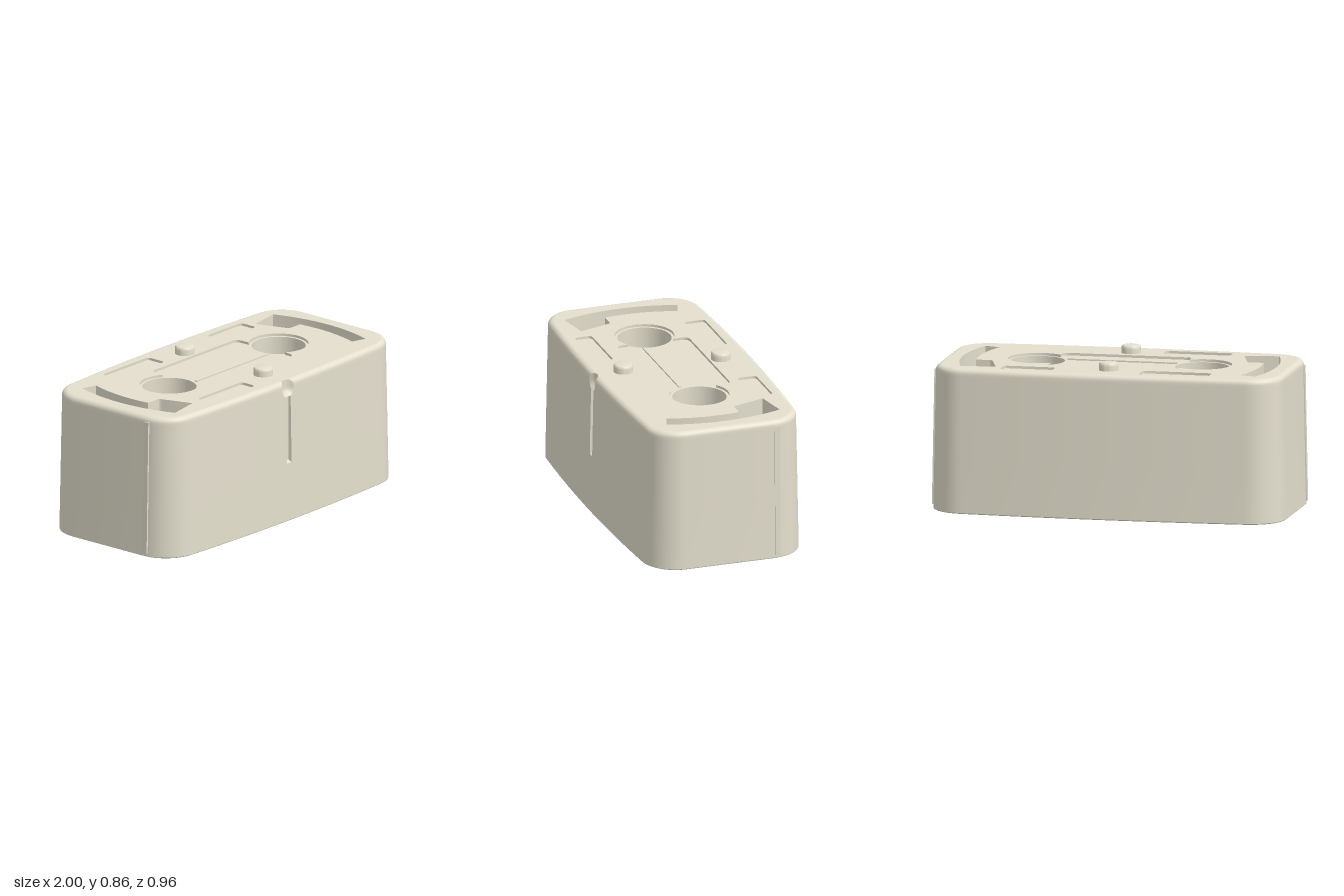
import * as THREE from 'three';
import { toCreasedNormals } from 'three/addons/utils/BufferGeometryUtils.js';

const paint = color => new THREE.MeshStandardMaterial({ color, side: THREE.DoubleSide });
const beige = paint(0xe4dfcd), dark = paint(0x453f39), tan = paint(0xd8c0b0);
const V = (x, y) => new THREE.Vector2(x, y);

// Front surface limit that carves the narrow groove and the round notch above it
function frontLimit(x, y) {
  let limit = Infinity;
  if (y > 0.34 && y < 0.72 && Math.abs(x) < 0.019) limit = 0.452;
  const t = 0.05 ** 2 - x * x - Math.min(0, y - 0.765) ** 2;
  if (t > 0) limit = Math.min(limit, 0.485 - Math.sqrt(t));
  return limit;
}

// Plan outline (x, z) with round corners and bowed long sides
function outline(inset, y) {
  const quarter = [];
  for (let i = 0; i <= 12; i++) {
    const a = (i / 12) * Math.PI / 2, r = 0.2 - inset;
    quarter.push(V(0.795 + r * Math.cos(a), 0.255 + r * Math.sin(a)));
  }
  for (const x of [0.7, 0.55, 0.4, 0.25, 0.1, 0.052, 0.048, 0.042, 0.035, 0.028, 0.02, 0.0185, 0.009, 0])
    quarter.push(V(x, 0.455 - inset + 0.025 * (1 - (x / 0.795) ** 2)));
  const half = [...quarter, ...quarter.slice(0, -1).reverse().map(p => V(-p.x, p.y))];
  const all = [...half, ...half.map(p => V(-p.x, -p.y))];
  return all.map(p => V(p.x, Math.min(p.y, frontLimit(p.x, y))));
}

// Closed-ring loft through [inset, y] levels
function loft(profile) {
  const pos = [], index = [];
  let n = 0;
  profile.forEach(([inset, y]) => {
    const ring = outline(inset, y);
    n = ring.length;
    ring.forEach(p => pos.push(p.x, y, p.y));
  });
  for (let i = 0; i < profile.length - 1; i++)
    for (let j = 0; j < n; j++) {
      const a = i * n + j, b = i * n + (j + 1) % n;
      index.push(a, a + n, b, b, a + n, b + n);
    }
  const g = new THREE.BufferGeometry();
  g.setAttribute('position', new THREE.Float32BufferAttribute(pos, 3));
  g.setIndex(index);
  return toCreasedNormals(g, 0.5);
}

// Horizontal slab from a plan shape, extruded downwards from yTop
function slab(shape, holes, yTop, depth) {
  shape.holes.push(...holes);
  const g = new THREE.ExtrudeGeometry(shape, { depth, bevelEnabled: false, curveSegments: 24 });
  g.rotateX(Math.PI / 2).translate(0, yTop, 0);
  return toCreasedNormals(g, 0.5);
}

function roundRect(x0, z0, x1, z1, r) {
  const s = new THREE.Shape();
  s.absarc(x1 - r, z1 - r, r, 0, Math.PI / 2);
  s.absarc(x0 + r, z1 - r, r, Math.PI / 2, Math.PI);
  s.absarc(x0 + r, z0 + r, r, Math.PI, Math.PI * 1.5);
  s.absarc(x1 - r, z0 + r, r, Math.PI * 1.5, Math.PI * 2);
  s.closePath();
  return s;
}

const circle = (x, r) => new THREE.Shape().absarc(x, 0, r, 0, Math.PI * 2);

// Curved end slot with the opening beside it; sign -1 turns it to the other end
function slot(sign, g = 0) {
  const s = new THREE.Shape();
  s.absarc(-0.115, 0, 1.0 + g, -0.352 - g, 0.326 + g);
  s.absarc(-0.115, 0, 0.91 - g, 0.326 + g, -0.132 + g, true);
  s.lineTo(0.71 - g, -0.12 + g);
  s.quadraticCurveTo(0.695 - g, -0.12 + g, 0.69 - g, -0.14);
  s.lineTo(0.635 - g, -0.31 - g);
  return new THREE.Shape(s.getPoints(24).map(p => V(p.x * sign, p.y * sign)));
}

// Through-opening beside the curved slot
const opening = sign => new THREE.Shape([[0.787, -0.12], [0.695, -0.12], [0.635, -0.31], [0.742, -0.325], [0.762, -0.24]]
  .map(([x, z]) => V(x * sign, z * sign)));

// Central recess merged with the rims of both wells
function centreRecess() {
  const s = new THREE.Shape(), a = Math.PI - 0.92;
  s.moveTo(0.325, -0.22);
  s.quadraticCurveTo(0.365, -0.22, 0.365, -0.18);
  s.absarc(0.465, 0, 0.165, -a, a);
  s.lineTo(0.365, 0.16);
  s.quadraticCurveTo(0.365, 0.2, 0.325, 0.2);
  s.lineTo(-0.325, 0.2);
  s.quadraticCurveTo(-0.365, 0.2, -0.365, 0.16);
  s.absarc(-0.465, 0, 0.165, Math.PI - a, Math.PI + a);
  s.lineTo(-0.365, -0.18);
  s.quadraticCurveTo(-0.365, -0.22, -0.325, -0.22);
  s.closePath();
  return s;
}

export function createModel() {
  const group = new THREE.Group();
  const add = (name, geometry, x = 0, y = 0, z = 0, material = beige) => {
    const m = new THREE.Mesh(geometry, material);
    m.name = name;
    m.position.set(x, y, z);
    group.add(m);
    return m;
  };
  const lathe = pts => toCreasedNormals(new THREE.LatheGeometry(pts.map(p => V(...p)), 40), 0.6);
  const box = (x, y, z) => new THREE.BoxGeometry(x, y, z);

  // Hollow tapered housing: inner wall, bottom rim, outer wall, top fillet
  const profile = [[0.06, 0.77], [0.052, 0], [0.006, 0], [0.002, 0.002], [0, 0.006]];
  for (const y of [0.012, 0.02, 0.335, 0.345, 0.7, 0.715, 0.72, 0.725, 0.735, 0.745, 0.755, 0.765, 0.78])
    profile.push([0.015 * y / 0.78, y]);
  for (let i = 1; i <= 6; i++) {
    const a = (i / 6) * Math.PI / 2;
    profile.push([0.045 - 0.03 * Math.cos(a), 0.78 + 0.03 * Math.sin(a)]);
  }
  add('housing', loft(profile));

  // Top plate with recesses, laid over a backing plate that forms their floors
  const ends = [1, -1];
  add('topPlate', slab(new THREE.Shape(outline(0.045, 0.81)), [
    centreRecess(), ...ends.map(s => slot(s)),
    roundRect(-0.58, -0.39, -0.19, -0.27, 0.02),
    roundRect(-0.555, 0.28, -0.18, 0.38, 0.02),
    roundRect(0.305, -0.385, 0.595, -0.275, 0.02),
  ], 0.81, 0.014));
  add('backingPlate', slab(new THREE.Shape(outline(0.05, 0.75)), [
    ...ends.map(s => circle(s * 0.465, 0.15)), ...ends.map(s => slot(s)),
  ], 0.796, 0.036));
  add('centreSeam', box(0.62, 0.01, 0.01), 0, 0.799, 0.06);

  for (const z of [-0.285, 0.285])
    add('button', lathe([[0.055, 0.78], [0.055, 0.838], [0.053, 0.847], [0.048, 0.853], [0.04, 0.855], [0, 0.855]]), 0, 0, z);

  for (const s of ends) {
    // Deep stepped well inside a boss that reaches down to the rim
    add('wellBoss', lathe([[0.083, 0.27], [0.1, 0.27], [0.1, 0.52], [0.15, 0.52], [0.15, 0.794],
      [0.165, 0.77], [0.165, 0.5], [0.15, 0.03], [0.083, 0.03], [0.083, 0.27]]), s * 0.465);

    // Screw head with a cross recess
    const cross = new THREE.Shape();
    const w = 0.016, l = 0.062;
    [[w, l], [w, w], [l, w], [l, -w], [w, -w], [w, -l], [-w, -l], [-w, -w], [-l, -w], [-l, w], [-w, w], [-w, l]]
      .forEach(([x, y], i) => (i ? cross.lineTo(x, y) : cross.moveTo(x, y)));
    const head = add('screwHead', slab(circle(0, 0.097), [cross], 0.33, 0.03), s * 0.465, 0, 0, dark);
    head.rotation.y = 0.2;
    add('screwBody', new THREE.CylinderGeometry(0.097, 0.097, 0.03, 32), s * 0.465, 0.285, 0, dark);

    // Channel walls below each slot and its side opening
    add('slotWall', slab(slot(s, 0.012), [slot(s)], 0.77, 0.12));

    // Stiffening rib from the boss to the long wall
    add('rib', box(0.15, 0.73, 0.26), s * 0.52, 0.4, s * 0.295);

    // Contact cup in the inner plate
    add('contactCup', lathe([[0.07, 0.23], [0.055, 0.33], [0, 0.33]]), s * 0.11, 0, 0, tan);

    // Raised strip on each end face, following the wall's taper
    const strip = add('endStrip', box(0.016, 0.76, 0.03), s * 0.985, 0.4, s * -0.275);
    strip.rotation.z = s * 0.0192;
  }

  // Two-layer inner plate, dark above, pierced by the bosses, cups and end openings
  for (const [name, y, material] of [['innerPlate', 0.25, tan], ['innerPlateCover', 0.27, dark]])
    add(name, slab(new THREE.Shape(outline(0.075, 0.25)), ends.flatMap(s =>
      [circle(s * 0.465, 0.15), circle(s * 0.11, 0.07), opening(s)]), y, 0.02), 0, 0, 0, material);

  // Divider, stop bar, wall block and post under the plate
  add('divider', box(0.025, 0.06, 0.27), 0, 0.2, 0);
  add('stopBar', box(0.05, 0.13, 0.26), -0.25, 0.17, 0);
  add('wallBlock', box(0.17, 0.12, 0.08), 0.02, 0.18, 0.38);
  add('post', new THREE.CylinderGeometry(0.035, 0.035, 0.18, 24), -0.25, 0.16, 0.37);
  return group;
}
